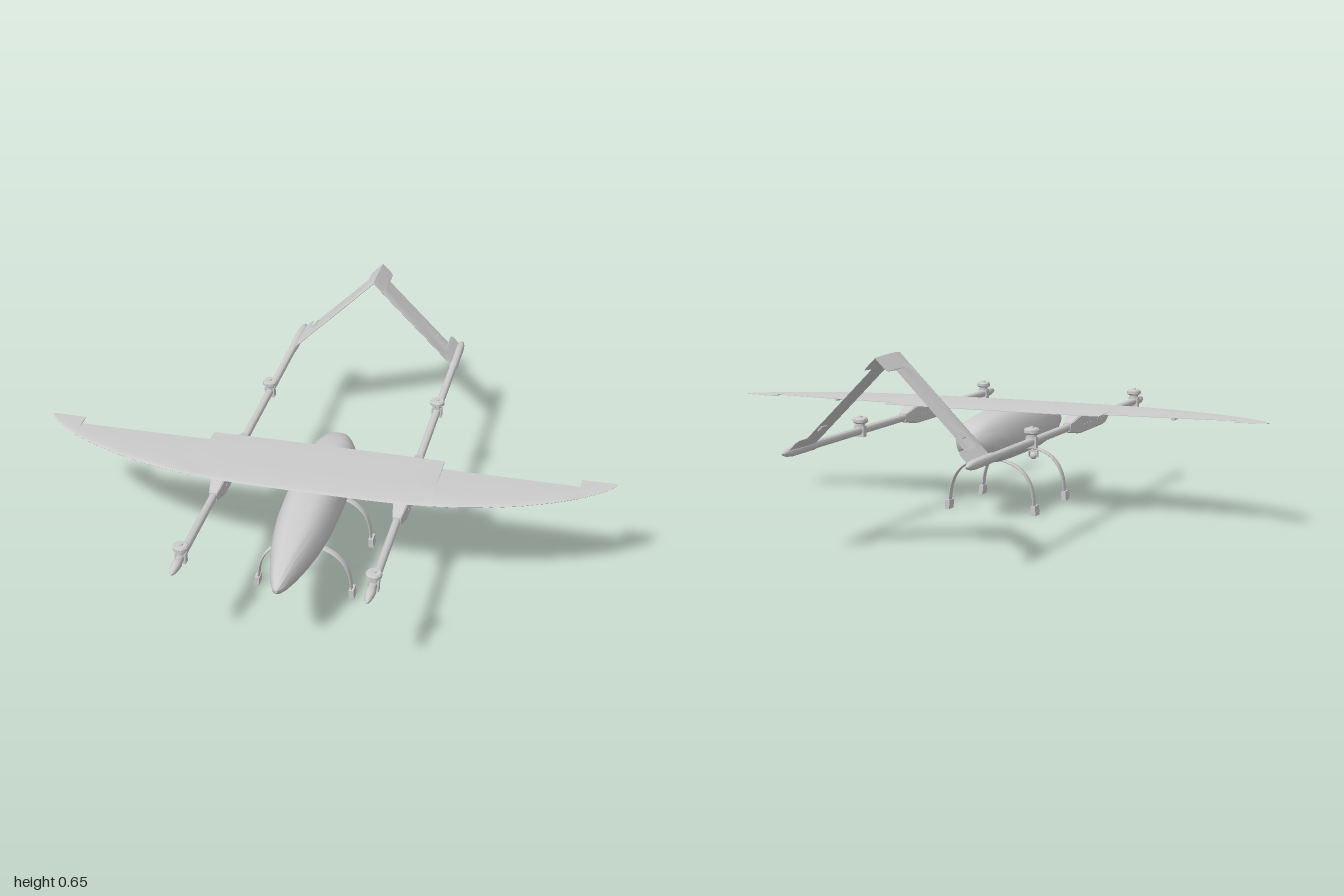
import * as THREE from 'three';
import { toCreasedNormals } from 'three/addons/utils/BufferGeometryUtils.js';

const grey = new THREE.MeshStandardMaterial({ color: 0xcccccc });
const BOOM_X = 0.313, BOOM_Y = 0.334;

function add(parent, name, geometry, x = 0, y = 0, z = 0) {
  const mesh = new THREE.Mesh(geometry, grey);
  mesh.name = name;
  mesh.position.set(x, y, z);
  parent.add(mesh);
  return mesh;
}

// Closed skin through rings of [x, y, z] points, capped at both ends
function loft(rings, crease = 0.6) {
  const n = rings[0].length, pos = rings.flat(2), idx = [];
  for (let i = 0; i < rings.length - 1; i++) {
    for (let j = 0; j < n; j++) {
      const a = i * n + j, b = i * n + (j + 1) % n;
      idx.push(a, b, a + n, b, b + n, a + n);
    }
  }
  [0, rings.length - 1].forEach((r, end) => {
    const c = pos.length / 3;
    for (let k = 0; k < 3; k++) pos.push(rings[r].reduce((s, p) => s + p[k], 0) / n);
    for (let j = 0; j < n; j++) {
      const a = r * n + j, b = r * n + (j + 1) % n;
      idx.push(...(end ? [c, a, b] : [c, b, a]));
    }
  });
  // turn the faces outward
  const v = i => new THREE.Vector3().fromArray(pos, i * 3);
  let volume = 0;
  for (let i = 0; i < idx.length; i += 3) volume += v(idx[i]).dot(v(idx[i + 1]).cross(v(idx[i + 2])));
  if (volume < 0) idx.reverse();
  const g = new THREE.BufferGeometry();
  g.setAttribute('position', new THREE.Float32BufferAttribute(pos, 3));
  g.setIndex(idx);
  return toCreasedNormals(g, crease);
}

// Lathe around the z axis from [radius, z] points
function latheZ(points, segments = 20) {
  const g = new THREE.LatheGeometry(points.map(([r, z]) => new THREE.Vector2(r, z)), segments);
  return toCreasedNormals(g.rotateX(Math.PI / 2), 0.6);
}

const lathe = (points, segments = 20) =>
  toCreasedNormals(new THREE.LatheGeometry(points.map(p => new THREE.Vector2(...p)), segments), 0.6);

// Airfoil loop: fractions along the chord with a signed height
function airfoil(up, down) {
  const shape = u => 2.6 * (0.2969 * Math.sqrt(u) - 0.126 * u - 0.3516 * u * u + 0.2843 * u ** 3 - 0.0936 * u ** 4) * 1.9;
  const us = [0, 0.015, 0.05, 0.12, 0.25, 0.4, 0.6, 0.8, 1];
  return [...us.map(u => [u, up * shape(u)]), ...us.slice(1).reverse().map(u => [u, -down * shape(u) - 0.0006])];
}

function buildFuselage(parent) {
  // z, half width, bottom, top
  const stations = [
    [0.768, 0.004, 0.253, 0.262], [0.755, 0.016, 0.24, 0.274], [0.72, 0.031, 0.228, 0.291],
    [0.66, 0.049, 0.214, 0.311], [0.58, 0.069, 0.203, 0.33], [0.5, 0.084, 0.195, 0.346],
    [0.4, 0.096, 0.188, 0.358], [0.28, 0.1, 0.186, 0.364], [0.15, 0.1, 0.186, 0.364],
    [0.05, 0.097, 0.188, 0.36], [-0.02, 0.088, 0.199, 0.353], [-0.07, 0.07, 0.218, 0.342],
    [-0.1, 0.053, 0.237, 0.329], [-0.118, 0.034, 0.255, 0.312]];
  const power = (c, e) => Math.sign(c) * Math.abs(c) ** e;
  const rings = stations.map(([z, w, y0, y1]) => Array.from({ length: 36 }, (_, i) => {
    const a = i / 36 * Math.PI * 2, v = power(Math.sin(a), 0.65);
    const narrow = v > 0 ? 1 - 0.24 * v : 1 + 0.1 * v;
    return [w * power(Math.cos(a), 0.65) * narrow, (y0 + y1) / 2 + (y1 - y0) / 2 * v, z];
  }));
  add(parent, 'fuselage', loft(rings, 0.7));
  add(parent, 'rearHub', latheZ([[0, -0.13], [0.01, -0.13], [0.01, -0.124], [0.021, -0.124], [0.021, -0.1]]), 0, 0.285, 0);
}

function buildWing(parent) {
  // x, leading edge z, trailing edge z; pairs at one x make the trailing-edge steps
  const half = [
    [0, 0.362, 0.062], [0.2, 0.361, 0.062], [0.313, 0.357, 0.064], [0.41, 0.348, 0.066], [0.411, 0.348, 0.114],
    [0.5, 0.334, 0.116], [0.6, 0.312, 0.117], [0.7, 0.281, 0.119], [0.8, 0.239, 0.121], [0.879, 0.197, 0.123],
    [0.88, 0.196, 0.08], [0.93, 0.162, 0.08], [0.97, 0.129, 0.08], [0.99, 0.105, 0.081], [1, 0.087, 0.084]];
  const all = [...half.slice(1).reverse().map(([x, a, b]) => [-x, a, b]), ...half];
  add(parent, 'wing', loft(all.map(([x, le, te]) => {
    const s = Math.max(0.1, (le - 0.07) / 0.29);
    return airfoil(0.0115 * s, 0.0135 * s).map(([u, h]) => [x, 0.379 - 0.008 * s + h, le + (te - le) * u]);
  }), 0.5));
  for (const side of [-1, 1]) {
    add(parent, 'aileronServo', new THREE.BoxGeometry(0.012, 0.008, 0.045), side * 0.65, 0.365, 0.165);
  }
}

function buildMotor(parent, z) {
  const motor = new THREE.Group();
  motor.name = 'liftMotor';
  motor.position.set(0, BOOM_Y, z);
  add(motor, 'clamp', new THREE.BoxGeometry(0.036, 0.038, 0.022), 0, -0.002, 0);
  add(motor, 'motorCan', lathe([[0, 0.012], [0.016, 0.012], [0.016, 0.024], [0.021, 0.026], [0.026, 0.03], [0.026, 0.04],
    [0.022, 0.045], [0.008, 0.046], [0.007, 0.05], [0, 0.05]]));
  parent.add(motor);
}

function buildBoom(parent, side) {
  const boom = new THREE.Group();
  boom.name = side > 0 ? 'leftBoom' : 'rightBoom';
  boom.position.x = side * BOOM_X;
  add(boom, 'boomTube', latheZ([[0, -0.858], [0.007, -0.852], [0.013, -0.83], [0.016, -0.8], [0.016, -0.66], [0.0135, -0.64],
    [0.0135, 0.79], [0.0165, 0.795], [0.0155, 0.815], [0.009, 0.845], [0.003, 0.858], [0, 0.859]]), 0, BOOM_Y, 0);
  // fairing that carries the boom under the wing: z, half width, bottom, top
  const stations = [[0.405, 0.014, 0.32, 0.349], [0.385, 0.018, 0.314, 0.355], [0.35, 0.024, 0.307, 0.367], [0.32, 0.024, 0.305, 0.37],
    [0.1, 0.024, 0.305, 0.37], [0.065, 0.024, 0.308, 0.367], [0.035, 0.018, 0.314, 0.355], [0.01, 0.014, 0.32, 0.349]];
  add(boom, 'boomFairing', loft(stations.map(([z, w, y0, y1]) => {
    const c = 0.2 * w;
    return [[w, y0 + c], [w, y1 - c], [w - c, y1], [c - w, y1], [-w, y1 - c], [-w, y0 + c], [c - w, y0], [w - c, y0]].map(([x, y]) => [x, y, z]);
  }), 0.5));
  // fastener heads along both flanks of the fairing
  for (const z of [0.325, 0.295, 0.26, 0.19, 0.155, 0.125]) {
    add(boom, 'fairingBolt', new THREE.CylinderGeometry(0.004, 0.004, 0.051, 10).rotateZ(Math.PI / 2), 0, 0.333, z);
  }
  buildMotor(boom, 0.755);
  buildMotor(boom, -0.322);
  parent.add(boom);
}

function buildTail(parent) {
  // distance from the ridge along x, leading and trailing edge z
  const half = [[0, -0.657, -0.832], [0.03, -0.657, -0.832], [0.04, -0.657, -0.825], [0.041, -0.657, -0.771], [0.16, -0.657, -0.771],
    [0.272, -0.657, -0.771], [0.273, -0.657, -0.82], [0.28, -0.657, -0.832], [0.309, -0.657, -0.832]];
  for (const side of [-1, 1]) {
    add(parent, side > 0 ? 'leftTailPanel' : 'rightTailPanel', loft(half.map(([d, le, te]) =>
      airfoil(0.0065, 0.0065).map(([u, h]) => {
        // the panel slopes at 45 degrees and is mitred at the ridge
        const k = d === 0 ? 0 : h * Math.SQRT1_2;
        return [side * (d + k), 0.646 - d + (d === 0 ? h * Math.SQRT2 : k), le + (te - le) * u];
      })), 0.5));
    const servo = add(parent, 'tailServo', new THREE.BoxGeometry(0.012, 0.022, 0.032), side * 0.24, 0.406, -0.735);
    servo.rotation.z = side * Math.PI / 4;
  }
}

function buildLeg(parent, z, side) {
  const leg = new THREE.Group();
  leg.name = 'landingLeg';
  const curve = new THREE.CatmullRomCurve3([[0.03, 0.192], [0.065, 0.184], [0.105, 0.165], [0.138, 0.13], [0.156, 0.085], [0.164, 0.025]]
    .map(([x, y]) => new THREE.Vector3(side * x, y, z)));
  // flat elliptical strut
  add(leg, 'strut', loft(Array.from({ length: 21 }, (_, i) => {
    const p = curve.getPoint(i / 20), t = curve.getTangent(i / 20);
    return Array.from({ length: 14 }, (_, j) => {
      const a = j / 14 * Math.PI * 2, h = 0.0045 * Math.cos(a);
      return [p.x - t.y * h, p.y + t.x * h, z + 0.014 * Math.sin(a)];
    });
  }), 0.9));
  const foot = add(leg, 'foot', new THREE.BoxGeometry(0.017, 0.034, 0.04), side * 0.166, 0.0185, z);
  foot.rotation.z = side * 0.08;
  parent.add(leg);
}

function buildCamera(parent) {
  const gimbal = new THREE.Group();
  gimbal.name = 'cameraGimbal';
  gimbal.position.z = 0.5;
  add(gimbal, 'mount', lathe([[0, 0.16], [0.007, 0.16], [0.008, 0.172], [0.018, 0.178], [0.018, 0.188], [0.014, 0.2], [0, 0.2]], 16));
  add(gimbal, 'yoke', new THREE.BoxGeometry(0.036, 0.006, 0.016), 0, 0.16, 0);
  for (const side of [-1, 1]) add(gimbal, 'yokeArm', new THREE.BoxGeometry(0.004, 0.024, 0.012), side * 0.017, 0.149, 0);
  add(gimbal, 'cameraBall', new THREE.SphereGeometry(0.014, 18, 12), 0, 0.142, 0);
  add(gimbal, 'lens', latheZ([[0.008, 0], [0.008, 0.018], [0, 0.018]], 14), 0, 0.142, 0);
  parent.add(gimbal);
}

export function createModel() {
  const model = new THREE.Group();
  model.name = 'vtolDrone';
  buildFuselage(model);
  buildWing(model);
  buildTail(model);
  buildCamera(model);
  for (const side of [-1, 1]) {
    buildBoom(model, side);
    for (const z of [0.4, 0.09]) buildLeg(model, z, side);
  }
  return model;
}
